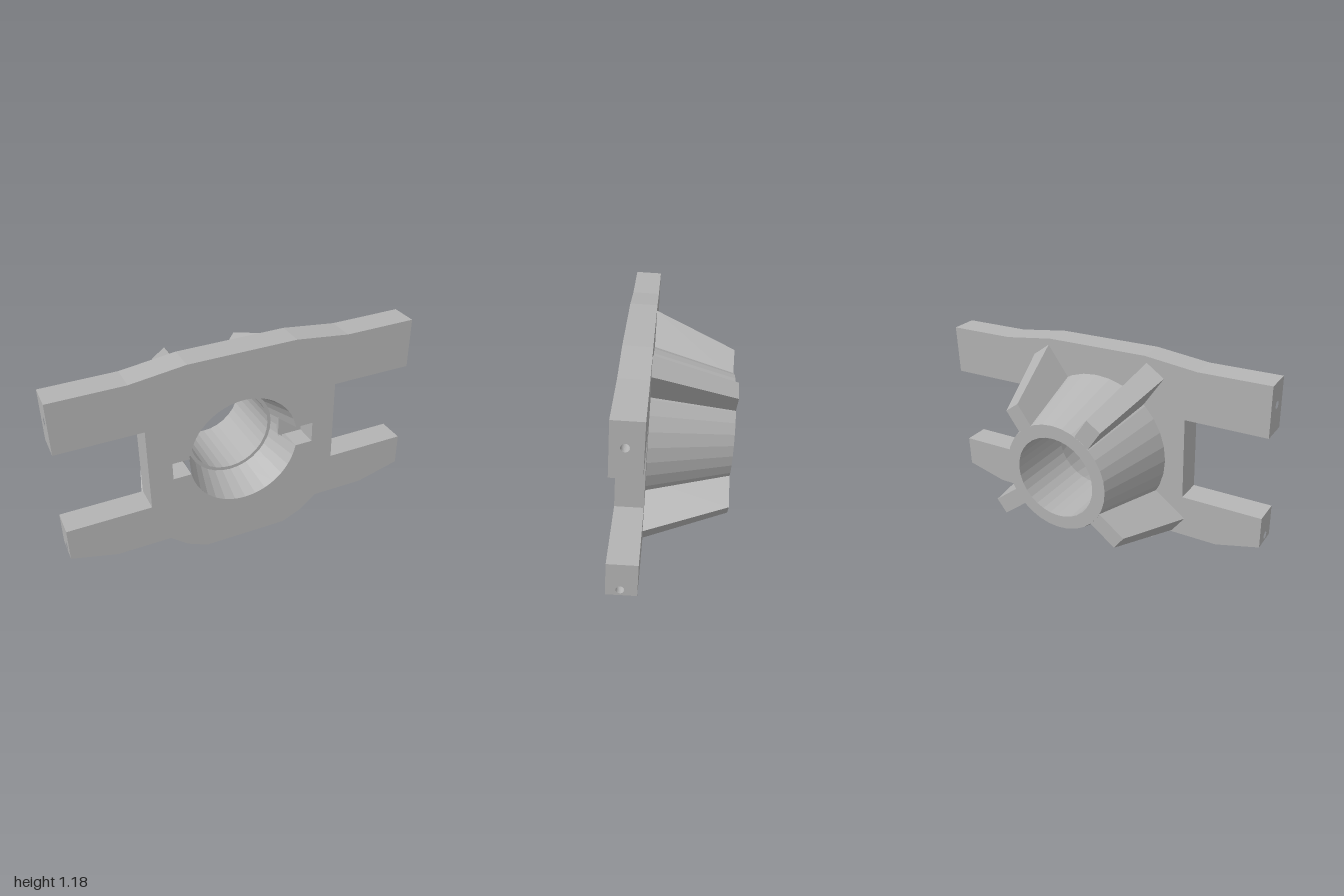
import * as THREE from 'three';

const T = 0.153;     // plate thickness
const DEPTH = 0.605; // total depth to the hub end
const CY = 0.58;     // hub axis height on the plate
const SLOT = 0.06;   // half height of the key slots

export function createModel() {
  const metal = new THREE.MeshStandardMaterial({ color: 0xb4b4b4, flatShading: true });
  metal.name = 'grey metal';
  const model = new THREE.Group();
  model.name = 'hubBracket';
  // everything is built upright, then leaned back slightly
  const body = new THREE.Group();
  body.name = 'leaningBody';
  body.rotation.x = -0.0644;
  body.position.set(0, 0.0098, 0.335);
  model.add(body);
  const add = (geo, name, parent = body) => {
    const m = new THREE.Mesh(geo, metal);
    m.name = name;
    parent.add(m);
    return m;
  };

  // H-shaped plate, mirrored outline, with slotted round opening
  const half = [
    [0.24, 0], [0.355, 0.052], [0.45, 0.13], [0.75, 0.13], [0.9, 0.169],
    [0.9, 0.377], [0.54, 0.377], [0.54, 0.852], [0.9, 0.852], [0.9, 1.135],
    [0.6, 1.135], [0.3, 1.172],
  ];
  const outline = [...half, ...half.map(([x, y]) => [-x, y]).reverse()];
  const shape = new THREE.Shape(outline.map(([x, y]) => new THREE.Vector2(x, y)));
  const a = Math.asin(SLOT / 0.315);
  const hole = new THREE.Path();
  hole.moveTo(0.41, CY - SLOT);
  hole.lineTo(0.41, CY + SLOT);
  hole.absarc(0, CY, 0.315, a, Math.PI - a, false);
  hole.lineTo(-0.41, CY + SLOT);
  hole.lineTo(-0.41, CY - SLOT);
  hole.absarc(0, CY, 0.315, Math.PI + a, 2 * Math.PI - a, false);
  hole.closePath();
  shape.holes.push(hole);
  const plate = new THREE.ExtrudeGeometry(shape, { depth: T, bevelEnabled: false, curveSegments: 16 });
  plate.translate(0, 0, -T);
  add(plate, 'plate');

  // drilled arm ends; the lower ones continue the sloping underside
  const armEnd = (s, bottom, top, innerBottom, holeY, name) => {
    const sh = new THREE.Shape([[0, bottom], [s * T, bottom], [s * T, top], [0, top]]
      .map(([x, y]) => new THREE.Vector2(x, y)));
    const drill = new THREE.Path();
    drill.absarc(s * 0.07, holeY, 0.021, 0, Math.PI * 2, true);
    sh.holes.push(drill);
    const g = new THREE.ExtrudeGeometry(sh, { depth: 0.1, bevelEnabled: false, curveSegments: 12 });
    const p = g.attributes.position;
    for (let i = 0; i < p.count; i++) {
      if (p.getZ(i) < 0.01 && Math.abs(p.getY(i) - bottom) < 0.001) p.setY(i, innerBottom);
    }
    g.rotateY(s * Math.PI / 2);
    g.translate(s * 0.9, 0, 0);
    add(g, name);
  };
  for (const s of [1, -1]) {
    const side = s > 0 ? 'left' : 'right';
    armEnd(s, 0.852, 1.135, 0.852, 1.005, side + 'UpperArmEnd');
    armEnd(s, 0.195, 0.377, 0.169, 0.227, side + 'LowerArmEnd');
  }

  // hub: parts share an axis through the plate opening
  const hub = new THREE.Group();
  hub.name = 'hub';
  hub.position.y = CY;
  body.add(hub);
  const lathe = (pts, segs, start, len) => new THREE.LatheGeometry(
    pts.map(([r, d]) => new THREE.Vector2(r, -d)), segs, start, len).rotateX(Math.PI / 2);

  add(lathe([[0.276, 0.13], [0.255, 0.2], [0.235, 0.2], [0.235, DEPTH], [0.31, DEPTH], [0.43, T - 0.003]],
    32, 0, Math.PI * 2), 'hubCone', hub);

  // tapered mouth in two arcs, leaving the slots open, and the slot floors
  for (const s of [1, -1]) {
    const start = s > 0 ? Math.PI / 2 + a : -Math.PI / 2 + a;
    add(lathe([[0.315, 0], [0.276, 0.13]], 14, start, Math.PI - 2 * a),
      s > 0 ? 'upperMouth' : 'lowerMouth', hub);
    const floor = new THREE.BoxGeometry(0.142, 2 * SLOT, 0.022);
    floor.translate(s * 0.339, 0, -0.141);
    add(floor, s > 0 ? 'leftSlotFloor' : 'rightSlotFloor', hub);
  }

  // tapering ribs: box stretched between base and end sections
  const rib = (angle, rBase, rEnd, name) => {
    const g = new THREE.BoxGeometry(1, 1, 1);
    const p = g.attributes.position;
    for (let i = 0; i < p.count; i++) {
      const base = p.getZ(i) > 0;
      const outer = p.getX(i) > 0;
      p.setXYZ(i,
        outer ? (base ? rBase : rEnd) : (base ? 0.36 : 0.275),
        p.getY(i) * (base ? 0.125 : 0.095),
        base ? -T + 0.003 : -DEPTH + 0.001);
    }
    g.rotateZ(angle);
    add(g, name, hub);
  };
  const deg = Math.PI / 180;
  for (const s of [1, -1]) {
    const side = s > 0 ? 'left' : 'right';
    const turn = (d) => (s > 0 ? d : 180 - d) * deg;
    rib(turn(55), 0.635, 0.44, side + 'UpperRib');
    rib(turn(-37), 0.65, 0.485, side + 'LowerRib');
  }
  return model;
}
